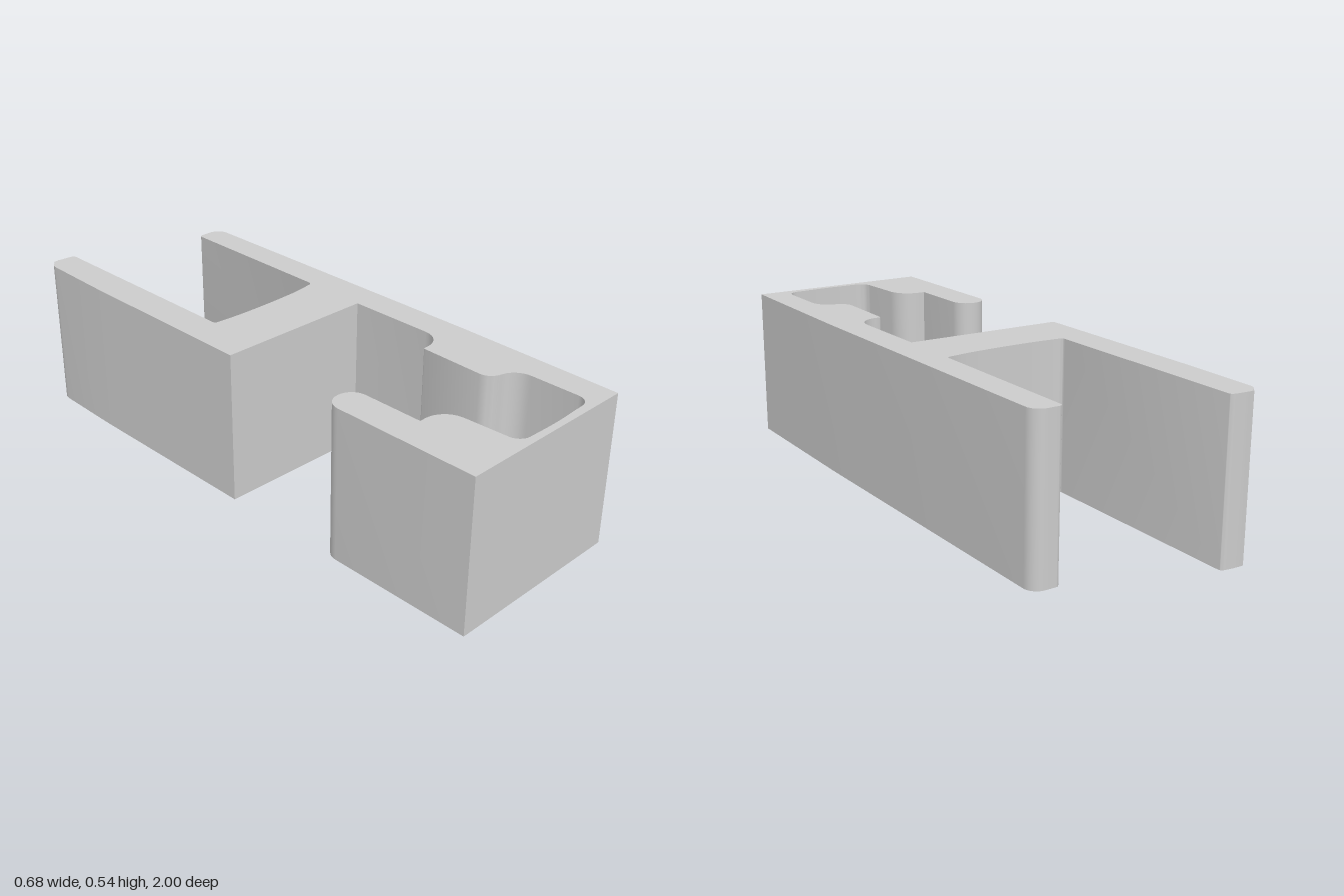
import * as THREE from 'three';
import { toCreasedNormals } from 'three/addons/utils/BufferGeometryUtils.js';

const HEIGHT = 0.54;

// Outline corners seen from above: [x, z, corner radius]
const corners = [
  // front wall and long right-hand wall
  [-0.34, 1, 0], [0.325, 1, 0], [0.335, 0.4, 0], [0.335, -0.825, 0.045], [0.238, -0.825, 0.012],
  // rear slot with a slightly bowed floor
  [0.232, -0.208, 0.012], [0.14, -0.195, 0.03], [0, -0.19, 0.05], [-0.12, -0.192, 0.03], [-0.222, -0.2, 0.012],
  // rear arm, and the cross web
  [-0.222, -0.995, 0.01], [-0.275, -1.003, 0.03], [-0.33, -1, 0.045], [-0.338, -0.7, 0.05], [-0.34, 0.012, 0],
  [0.228, 0.02, 0],
  // rib on the inner wall
  [0.228, 0.402, 0.075], [0.132, 0.402, 0.005], [0.124, 0.684, 0.05], [0.228, 0.684, 0.07],
  // front pocket
  [0.228, 0.968, 0.04], [0.05, 0.977, 0.05], [-0.108, 0.972, 0.04],
  // stepped hook
  [-0.122, 0.7, 0.075], [-0.222, 0.7, 0], [-0.222, 0.428, 0.057], [-0.34, 0.428, 0.057],
];

// Closed shape with each corner rounded by its own radius
function roundedShape(points) {
  const shape = new THREE.Shape();
  const n = points.length;
  const pt = (i) => new THREE.Vector2(points[(i + n) % n][0], -points[(i + n) % n][1]);
  for (let i = 0; i < n; i++) {
    const p = pt(i), r = points[i][2];
    const toward = (q) => p.clone().add(q.sub(p).setLength(r));
    const a = r ? toward(pt(i - 1)) : p;
    if (i === 0) shape.moveTo(a.x, a.y);
    else shape.lineTo(a.x, a.y);
    if (r) {
      const b = toward(pt(i + 1));
      // cubic handles approximate a circular arc
      const c1 = a.clone().lerp(p, 0.55), c2 = b.clone().lerp(p, 0.55);
      shape.bezierCurveTo(c1.x, c1.y, c2.x, c2.y, b.x, b.y);
    }
  }
  shape.closePath();
  return shape;
}

export function createModel() {
  const model = new THREE.Group();
  model.name = 'channelBracket';

  // Constant section extruded upward
  const geometry = new THREE.ExtrudeGeometry(roundedShape(corners), {
    depth: HEIGHT, bevelEnabled: false, curveSegments: 8,
  });
  geometry.rotateX(-Math.PI / 2);

  const body = new THREE.Mesh(
    toCreasedNormals(geometry, 0.6),
    new THREE.MeshStandardMaterial({ color: 0xcccccc }),
  );
  body.name = 'extrudedProfile';
  model.add(body);
  return model;
}
